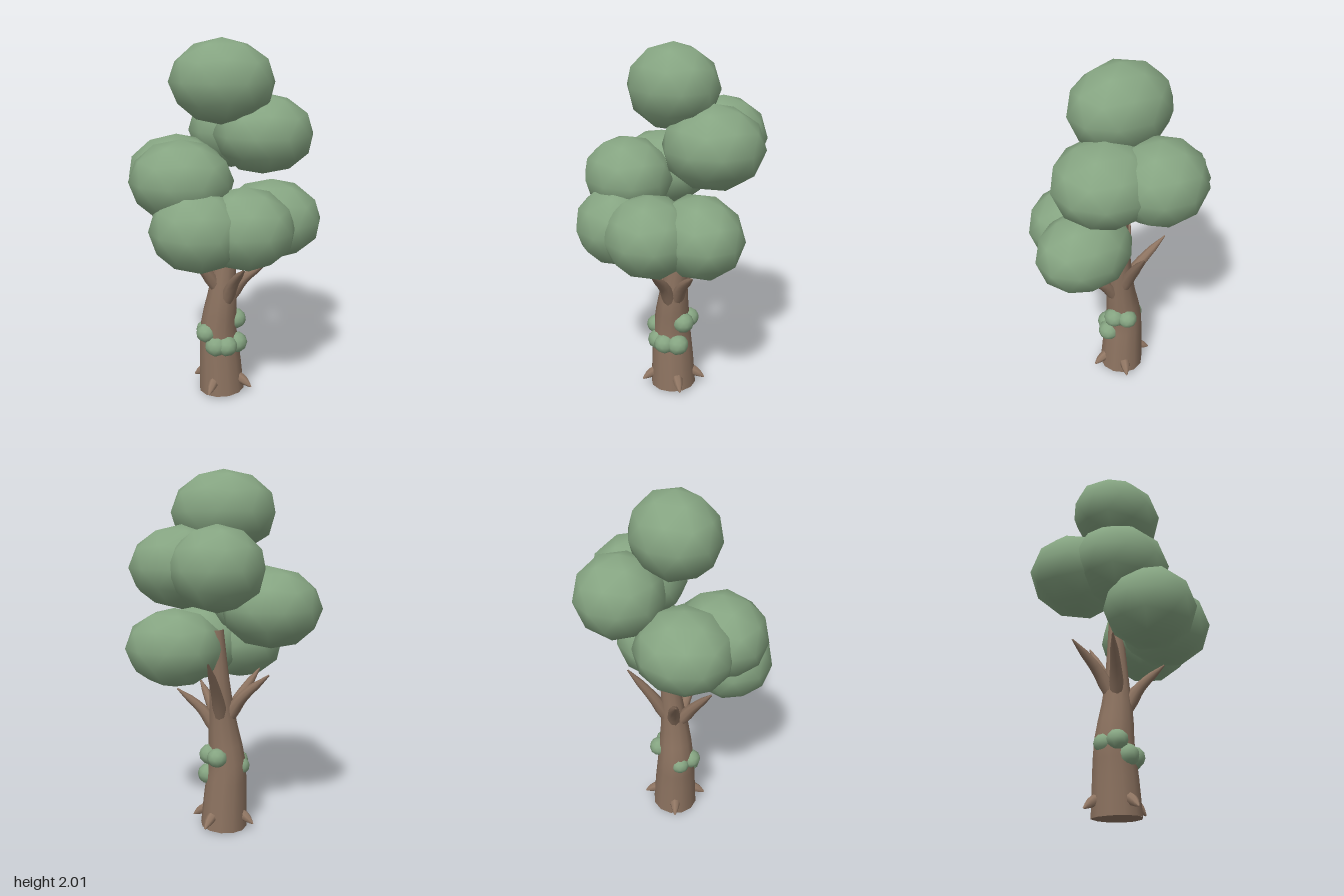
import * as THREE from 'three';
import { mergeVertices } from 'three/addons/utils/BufferGeometryUtils.js';

const V = (p) => new THREE.Vector3(...p);

// Low-poly ball with a vertex at the top and smooth normals
function makeBall() {
  const g = new THREE.IcosahedronGeometry(1, 1);
  g.deleteAttribute('uv');
  g.deleteAttribute('normal');
  const ball = mergeVertices(g, 1e-4);
  ball.rotateZ(Math.atan(2 / (1 + Math.sqrt(5))));
  ball.computeVertexNormals();
  return ball;
}

// Tube along a smooth path whose radius follows a list of values
function taperedTube(points, radii, rings, sides) {
  const path = new THREE.CatmullRomCurve3(points.map(V));
  const g = new THREE.TubeGeometry(path, rings, 1, sides, false);
  const pos = g.attributes.position;
  const v = new THREE.Vector3();
  for (let i = 0; i <= rings; i++) {
    const t = i / rings;
    const centre = path.getPointAt(t);
    const f = t * (radii.length - 1);
    const k = Math.min(Math.floor(f), radii.length - 2);
    const r = THREE.MathUtils.lerp(radii[k], radii[k + 1], f - k);
    for (let j = 0; j <= sides; j++) {
      const n = i * (sides + 1) + j;
      v.fromBufferAttribute(pos, n).sub(centre).multiplyScalar(r).add(centre);
      pos.setXYZ(n, v.x, v.y, v.z);
    }
  }
  return g;
}

export function createModel() {
  const tree = new THREE.Group();
  tree.name = 'tree';
  const leaf = new THREE.MeshStandardMaterial({ color: 0x86a582 });
  leaf.name = 'leaf green';
  const bark = new THREE.MeshStandardMaterial({ color: 0x8f7562 });
  bark.name = 'bark brown';

  const add = (name, geometry, material) => {
    const mesh = new THREE.Mesh(geometry, material);
    mesh.name = name;
    tree.add(mesh);
    return mesh;
  };

  // Trunk: wide foot, slight lean, narrowing into the crown
  add('trunk', taperedTube(
    [[0, 0, 0], [-0.01, 0.2, 0], [-0.02, 0.36, 0], [0, 0.56, 0], [0.02, 0.84, -0.02], [0.03, 1.15, -0.04]],
    [0.133, 0.12, 0.1, 0.07, 0.052, 0.035], 12, 12), bark);
  const base = add('trunkBase', new THREE.CircleGeometry(0.133, 12), bark);
  base.rotation.x = Math.PI / 2;
  base.position.y = 0.002;

  // Branches: start point, bend, tip
  const branches = [
    [[0.03, 0.54, 0], [0.12, 0.68, 0], [0.265, 0.8, 0]],
    [[0.03, 0.54, 0.03], [0.08, 0.68, 0.09], [0.165, 0.81, 0.2]],
    [[-0.02, 0.62, -0.01], [-0.1, 0.76, -0.04], [-0.26, 0.91, -0.08]],
    [[-0.02, 0.62, 0.02], [-0.08, 0.74, 0.07], [-0.19, 0.9, 0.15]],
    [[0.01, 0.62, -0.03], [0.02, 0.78, -0.11], [0.05, 1.0, -0.26]],
  ];
  for (const b of branches) add('branch', taperedTube(b, [0.03, 0.038, 0.03, 0.022, 0.004], 8, 8), bark);

  // Roots: short horns around the foot
  for (const deg of [11, 102, 198, -62]) {
    const a = THREE.MathUtils.degToRad(deg);
    const at = (r, y) => [r * Math.cos(a), y, r * Math.sin(a)];
    add('root', taperedTube([at(0.09, 0.09), at(0.135, 0.07), at(0.185, 0.033)],
      [0.032, 0.03, 0.022, 0.004], 5, 7), bark);
  }

  // Leaf masses: centre, radii, turn
  const ball = makeBall();
  const addLeaves = (name, centre, radii, turn = 0) => {
    const mesh = add(name, ball, leaf);
    mesh.position.set(...centre);
    mesh.scale.set(...radii);
    mesh.rotation.y = turn;
  };
  const crown = [
    [[0, 1.775, 0], [0.287, 0.225, 0.238]],
    [[0.205, 1.49, -0.135], [0.28, 0.222, 0.268]],
    [[-0.005, 1.49, -0.295], [0.25, 0.222, 0.242]],
    [[-0.265, 1.27, -0.04], [0.275, 0.22, 0.258], 0.3],
    [[-0.175, 1.275, 0.195], [0.28, 0.22, 0.245]],
    [[-0.06, 1.04, 0.295], [0.26, 0.222, 0.24]],
    [[0.165, 1.04, 0.205], [0.268, 0.222, 0.245]],
    [[0.27, 1.04, -0.03], [0.278, 0.222, 0.232]],
  ];
  for (const [c, r, turn] of crown) addLeaves('crownLeaves', c, r, turn);

  // Small tufts climbing round the trunk: x, y, z, radius
  const tufts = [
    [-0.075, 0.37, 0.075, 0.058], [-0.095, 0.36, 0, 0.055],
    [-0.015, 0.3, 0.085, 0.065], [0.045, 0.3, 0.075, 0.062], [0.088, 0.3, 0.01, 0.064],
    [0.075, 0.43, -0.03, 0.062], [0.025, 0.43, -0.09, 0.058], [0.04, 0.51, 0, 0.042],
  ];
  for (const [x, y, z, r] of tufts) addLeaves('trunkTuft', [x, y, z], [r, r * 0.95, r], x * 20);

  return tree;
}
